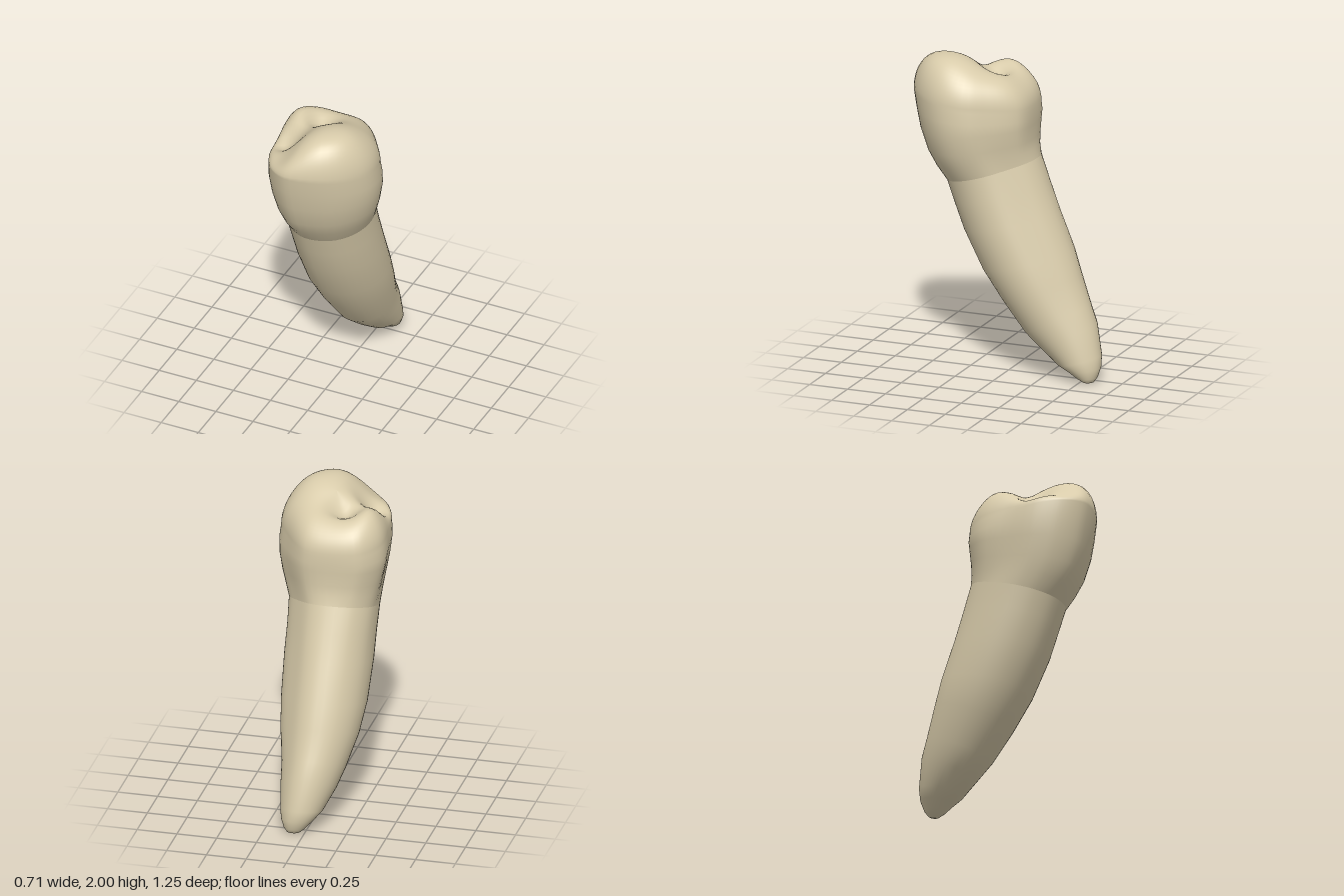
import * as THREE from 'three';

const SIDES = 56;

// Crown outline seen from above (x, z), going round from the -x side past the back
const OUTLINE = [
  [-0.355, 0.08], [-0.34, 0], [-0.29, -0.08], [-0.22, -0.135], [-0.05, -0.158], [0.1, -0.14],
  [0.18, -0.08], [0.27, 0.04], [0.335, 0.15], [0.35, 0.27], [0.32, 0.38], [0.23, 0.5],
  [0.1, 0.585], [-0.08, 0.628], [-0.16, 0.605], [-0.24, 0.54], [-0.285, 0.47], [-0.32, 0.38], [-0.34, 0.22],
];

// Tilted sections: back z, back y, front z, front y, min x, max x,
// share of crown outline, flattening of the back corner on the +x side
const ROOT = [
  [-0.556, 0, -0.554, 0, 0.064, 0.066, 0, 0],
  [-0.59, 0.012, -0.52, 0.01, 0.025, 0.11, 0, 0],
  [-0.608, 0.04, -0.48, 0.03, -0.005, 0.13, 0, 0],
  [-0.624, 0.1, -0.42, 0.065, -0.05, 0.152, 0, 0.02],
  [-0.62, 0.17, -0.35, 0.095, -0.095, 0.166, 0, 0.05],
  [-0.577, 0.36, -0.24, 0.175, -0.16, 0.185, 0, 0.08],
  [-0.53, 0.47, -0.127, 0.27, -0.197, 0.2, 0, 0.1],
  [-0.46, 0.65, 0.02, 0.46, -0.253, 0.238, 0, 0.13],
  [-0.41, 0.8, 0.155, 0.65, -0.28, 0.257, 0, 0.14],
  [-0.31, 1.03, 0.28, 0.89, -0.292, 0.267, 0.1, 0.14],
  [-0.24, 1.2, 0.35, 1.06, -0.295, 0.264, 0.25, 0.11],
  [-0.175, 1.36, 0.4, 1.19, -0.302, 0.268, 0.4, 0.09],
];
const CROWN = [
  ROOT[ROOT.length - 1],
  [-0.157, 1.42, 0.47, 1.28, -0.31, 0.298, 0.7, 0.06],
  [-0.15, 1.48, 0.53, 1.38, -0.323, 0.325, 0.9, 0.03],
  [-0.15, 1.57, 0.58, 1.52, -0.344, 0.348, 1, 0],
  [-0.153, 1.62, 0.608, 1.65, -0.354, 0.351, 1, 0],
  [-0.15, 1.67, 0.628, 1.76, -0.345, 0.342, 1, 0],
];

// Unit version of the outline, -1 to 1 on both axes
const unitOutline = new THREE.CatmullRomCurve3(
  OUTLINE.map(([x, z]) => new THREE.Vector3((x + 0.0025) / 0.3525, 0, (z - 0.235) / 0.393)), true,
).getPoints(SIDES).slice(0, SIDES);

function sectionRing([zb, yb, zf, yf, x0, x1, share, flat]) {
  return unitOutline.map((p) => {
    const a = Math.atan2(p.z, p.x);
    const scale = 1 - flat * Math.max(0, Math.cos(a + Math.PI / 4)) ** 6;
    const u = THREE.MathUtils.lerp(Math.cos(a), p.x, share) * scale;
    const v = THREE.MathUtils.lerp(Math.sin(a), p.z, share) * scale;
    return new THREE.Vector3(
      (x0 + x1) / 2 + u * (x1 - x0) / 2,
      (yb + yf) / 2 + v * (yf - yb) / 2,
      (zb + zf) / 2 + v * (zf - zb) / 2,
    );
  });
}

const bump = (x, z, cx, cz, rx, rz, h, power = 1) =>
  h * Math.exp(-((((x - cx) / rx) ** 2 + ((z - cz) / rz) ** 2) ** power));

// Height of the chewing surface: broad tall cusp, small back cusp, basin and side groove
function biteHeight(x, z) {
  return 1.885
    + bump(x, z, 0.11, 0.41, 0.23, 0.29, 0.118, 1.4)
    + bump(x, z, -0.25, 0.08, 0.1, 0.12, 0.045)
    + bump(x, z, -0.23, 0.33, 0.11, 0.09, -0.11)
    + bump(x, z, -0.08, 0.12, 0.1, 0.09, -0.07)
    + bump(x, z, -0.21, 0.53, 0.13, 0.15, -0.07)
    + bump(x, z, 0.02, -0.14, 0.22, 0.1, -0.03);
}

// Rings shrinking from the rim to the centre, rounded over at the edge
function biteRings(rim, steps) {
  const rings = [];
  for (let k = 1; k <= steps; k++) {
    const s = Math.max(Math.cos((k / steps) * Math.PI / 2), 0.002);
    const round = Math.sqrt(1 - s ** 5);
    rings.push(rim.map((p) => {
      const x = p.x * s, z = 0.235 + (p.z - 0.235) * s;
      return new THREE.Vector3(x, THREE.MathUtils.lerp(p.y, biteHeight(x, z), round), z);
    }));
  }
  return rings;
}

// Skin over a stack of rings
function loft(rings) {
  const index = [];
  for (let r = 0; r < rings.length - 1; r++) {
    for (let i = 0; i < SIDES; i++) {
      const a = r * SIDES + i, b = r * SIDES + (i + 1) % SIDES;
      index.push(a, a + SIDES, b, b, a + SIDES, b + SIDES);
    }
  }
  const geometry = new THREE.BufferGeometry().setFromPoints(rings.flat());
  geometry.setIndex(index);
  geometry.computeVertexNormals();
  return geometry;
}

export function createModel() {
  const group = new THREE.Group();
  group.name = 'tooth';
  const ivory = new THREE.MeshStandardMaterial({ color: 0xd8cbaa });
  ivory.name = 'ivory';

  const root = new THREE.Mesh(loft(ROOT.map(sectionRing)), ivory);
  root.name = 'root';

  const wall = CROWN.map(sectionRing);
  const crown = new THREE.Mesh(loft([...wall, ...biteRings(wall[wall.length - 1], 18)]), ivory);
  crown.name = 'crown';

  group.add(root, crown);
  return group;
}
